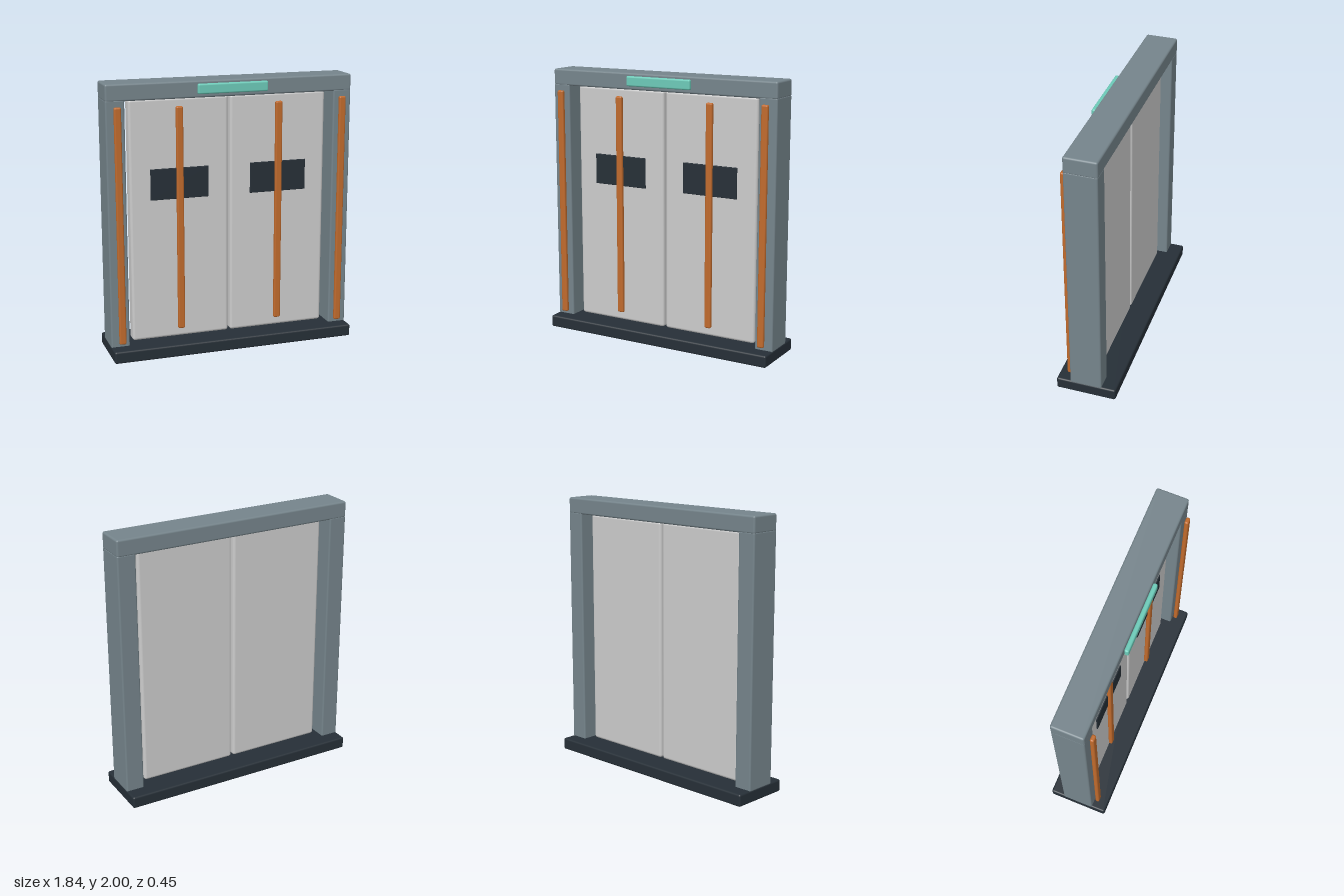
import * as THREE from 'three';
import { RoundedBoxGeometry } from 'three/addons/geometries/RoundedBoxGeometry.js';

const paint = (color) => new THREE.MeshStandardMaterial({ color });

export function createModel() {
  const group = new THREE.Group();
  const frame = paint(0x75848b);
  const panel = paint(0xc3c7c5);
  const dark = paint(0x262f37);
  const orange = paint(0xc06a2c);
  const teal = paint(0x6ccab8);

  // Rounded block given by its lower and upper limits on each axis
  function block(name, material, [x0, x1], [y0, y1], [z0, z1], radius) {
    const geometry = new RoundedBoxGeometry(x1 - x0, y1 - y0, z1 - z0, 3, radius);
    const mesh = new THREE.Mesh(geometry, material);
    mesh.name = name;
    mesh.position.set((x0 + x1) / 2, (y0 + y1) / 2, (z0 + z1) / 2);
    group.add(mesh);
  }

  // Threshold, lintel and sign light
  block('threshold', dark, [-0.92, 0.92], [0, 0.09], [-0.224, 0.224], 0.014);
  block('lintel', frame, [-0.92, 0.92], [1.878, 2], [-0.119, 0.119], 0.014);
  block('signLight', teal, [-0.262, 0.262], [1.907, 1.98], [0.12, 0.153], 0.012);

  // Everything else is mirrored left and right
  for (const [side, s] of [['left', 1], ['right', -1]]) {
    const span = (a, b) => (s > 0 ? [a, b] : [-b, -a]);
    block(side + 'Post', frame, span(0.783, 0.92), [0.08, 1.89], [-0.118, 0.118], 0.012);
    block(side + 'PostStrip', orange, span(0.816, 0.867), [0.117, 1.843], [0.128, 0.159], 0.012);
    block(side + 'Door', panel, span(0.008, 0.743), [0.095, 1.877], [-0.05, 0.05], 0.02);
    block(side + 'Window', dark, span(0.16, 0.592), [1.146, 1.373], [0.04, 0.058], 0.003);
    block(side + 'DoorStrip', orange, span(0.35, 0.402), [0.161, 1.818], [0.048, 0.08], 0.012);
  }
  return group;
}
